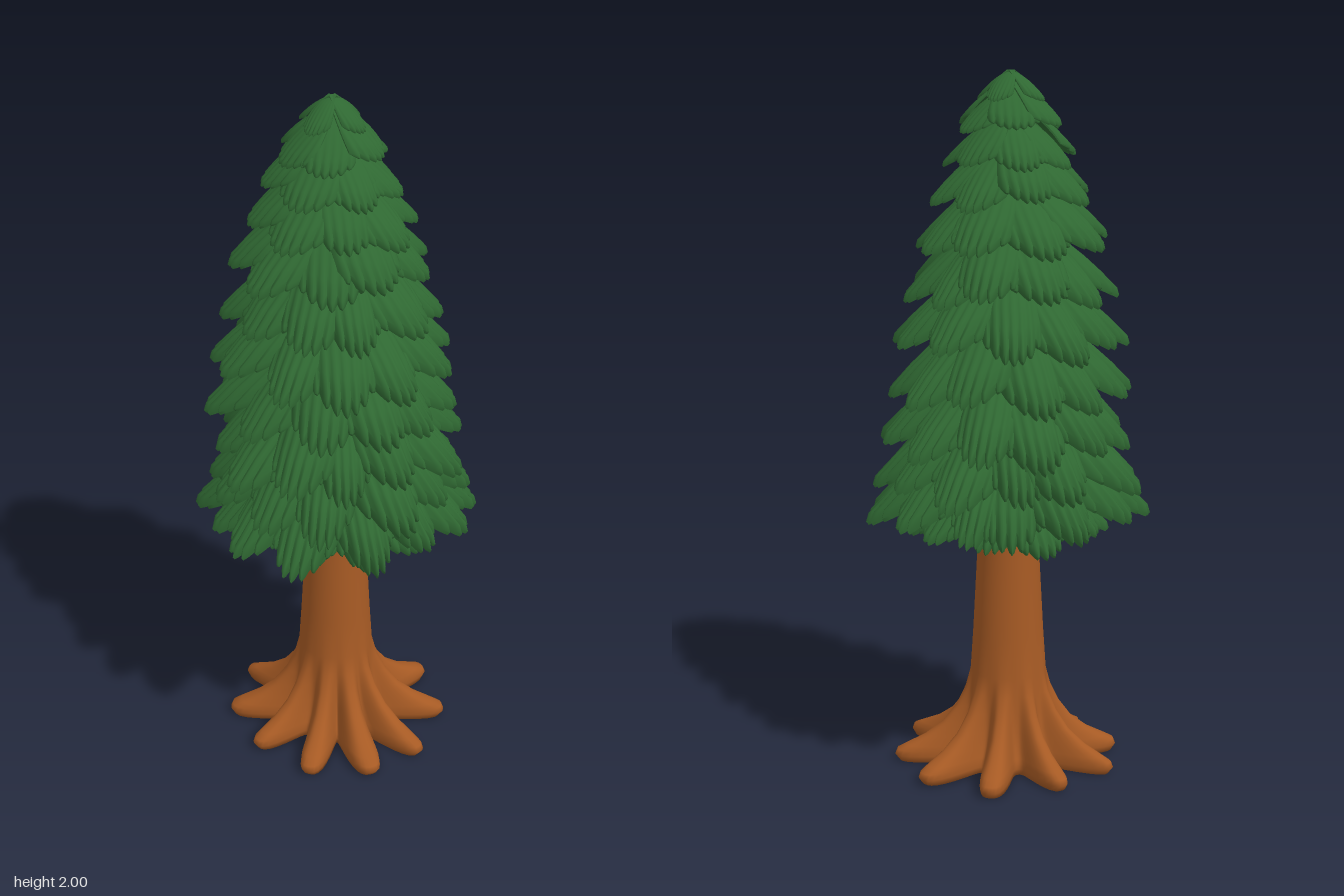
import * as THREE from 'three';
import { toCreasedNormals } from 'three/addons/utils/BufferGeometryUtils.js';

const green = new THREE.MeshStandardMaterial({ color: 0x2f6832 });
green.name = 'needle green';
const brown = new THREE.MeshStandardMaterial({ color: 0xa65a24 });
brown.name = 'bark brown';

// Small seeded generator, returns -1..1
let seed = 7;
function jitter() {
  seed = (seed * 16807) % 2147483647;
  return (seed / 2147483647) * 2 - 1;
}

// Skin a list of closed rings that all have the same number of points
function loft(rings) {
  const n = rings[0].length, index = [];
  for (let i = 0; i < rings.length - 1; i++) {
    for (let j = 0; j < n; j++) {
      const k = (j + 1) % n;
      const a = i * n + j, b = i * n + k, c = b + n, d = a + n;
      index.push(a, b, c, a, c, d);
    }
  }
  const geo = new THREE.BufferGeometry();
  geo.setAttribute('position', new THREE.Float32BufferAttribute(rings.flat(2), 3));
  geo.setIndex(index);
  geo.computeVertexNormals();
  return geo;
}

// Trunk flaring into finger-like roots
function trunkGeometry() {
  const roots = [];
  for (let i = 0; i < 10; i++) {
    roots.push({ angle: (i / 10) * Math.PI * 2 + 0.09 * jitter(), length: 0.325 + 0.02 * jitter(), width: 0.18 + 0.03 * jitter() });
  }
  const reach = (theta) => {
    let r = 0.155;
    for (const root of roots) {
      const d = Math.atan2(Math.sin(theta - root.angle), Math.cos(theta - root.angle));
      r = Math.max(r, 0.155 + (root.length - 0.155) * Math.exp(-Math.pow(Math.abs(d) / root.width, 3)));
    }
    return r;
  };
  // [trunk radius, share of root reach, height]
  const profile = [
    [0, 0, 0.012], [0.1, 0.5, 0.006], [0.112, 0.94, 0.004], [0.112, 1, 0.022], [0.112, 0.97, 0.038],
    [0.112, 0.85, 0.051], [0.112, 0.6, 0.078], [0.112, 0.36, 0.118], [0.112, 0.18, 0.17], [0.112, 0.06, 0.225],
    [0.11, 0, 0.28], [0.102, 0, 0.4], [0.094, 0, 0.55], [0.086, 0, 0.7], [0.083, 0, 0.9], [0.04, 0, 1.6], [0, 0, 1.7],
  ];
  const n = 200;
  return loft(profile.map(([radius, share, y]) => Array.from({ length: n }, (_, j) => {
    const theta = (j / n) * Math.PI * 2;
    const r = radius + share * (reach(theta) - radius);
    return [r * Math.sin(theta) - 0.008, y, r * Math.cos(theta)];
  })));
}

// Unit bough: runs along +z, droops by 1, half width 1, scalloped tip
function boughGeometry() {
  const cols = 28, rows = 6, rings = [];
  const point = (u, t, side) => {
    const lobe = Math.abs(Math.cos(3.5 * Math.PI * u));
    const z = t * (1 - 0.32 * u * u - 0.09 * (1 - lobe));
    const width = 0.3 + 0.7 * Math.sin(Math.min(1, z / 0.7) * Math.PI / 2);
    const thick = 0.13 * (1 - 0.6 * u ** 4);
    const y = -(0.55 * z + 0.45 * z * z) - 0.26 * u * u * t - 0.06 * (1 - lobe) * t ** 3 - side * thick;
    return [u * width, y, z];
  };
  for (let i = 0; i <= rows + 1; i++) {
    const t = Math.min(i / rows, 1) + (i > rows ? 0.02 : 0);
    const tip = i > rows;
    const ring = [];
    for (let j = cols; j >= 0; j--) ring.push(point(-1 + 2 * j / cols, t, tip ? 0.5 : 0));
    for (let j = 0; j <= cols; j++) ring.push(point(-1 + 2 * j / cols, t, tip ? 0.5 : 1));
    rings.push(ring);
  }
  return toCreasedNormals(loft(rings), 0.8);
}

export function createModel() {
  const model = new THREE.Group();
  model.name = 'coniferTree';

  const trunk = new THREE.Mesh(trunkGeometry(), brown);
  trunk.name = 'trunkWithRoots';
  model.add(trunk);

  // Inner mass that closes the gaps between boughs
  const core = new THREE.Mesh(new THREE.CylinderGeometry(0.02, 0.18, 1.08, 24), green);
  core.name = 'foliageCore';
  core.position.set(-0.012, 1.4, 0);
  model.add(core);

  // Tiers of boughs: [reach, tip height, count]
  const tiers = [
    [0.29, 0.725, 10], [0.39, 0.775, 13], [0.375, 0.875, 12], [0.36, 0.99, 12], [0.345, 1.125, 11],
    [0.325, 1.265, 11], [0.3, 1.405, 10], [0.27, 1.54, 9], [0.228, 1.66, 8], [0.185, 1.765, 7],
    [0.145, 1.85, 6], [0.1, 1.925, 4],
  ];
  const bough = boughGeometry();
  tiers.forEach(([reach, tipY, count], level) => {
    const tier = new THREE.Group();
    const top = level === tiers.length - 1;
    tier.name = top ? 'crownTip' : `boughTier${level + 1}`;
    const drop = 0.7 * reach + 0.005;
    tier.position.set(-0.025 * (tipY - 0.75) / 1.2, tipY + drop, 0);
    for (let i = 0; i < count; i++) {
      const wobble = top ? 0 : 1;
      const inner = reach * (top ? 0 : 0.08);
      const length = reach * (1 + 0.06 * wobble * jitter()) - inner;
      const angle = ((i + (top ? 0 : level % 2) * 0.5) / count) * Math.PI * 2 + 0.1 * wobble * jitter();
      const mesh = new THREE.Mesh(bough, green);
      mesh.name = 'bough';
      const halfWidth = (top ? 0.5 : 0.93) * Math.PI * reach / count;
      mesh.scale.set(halfWidth * (1 + 0.1 * wobble * jitter()), drop, length);
      mesh.position.set(inner * Math.sin(angle), 0.018 * wobble * jitter(), inner * Math.cos(angle));
      mesh.rotation.y = angle;
      tier.add(mesh);
    }
    model.add(tier);
  });
  return model;
}
